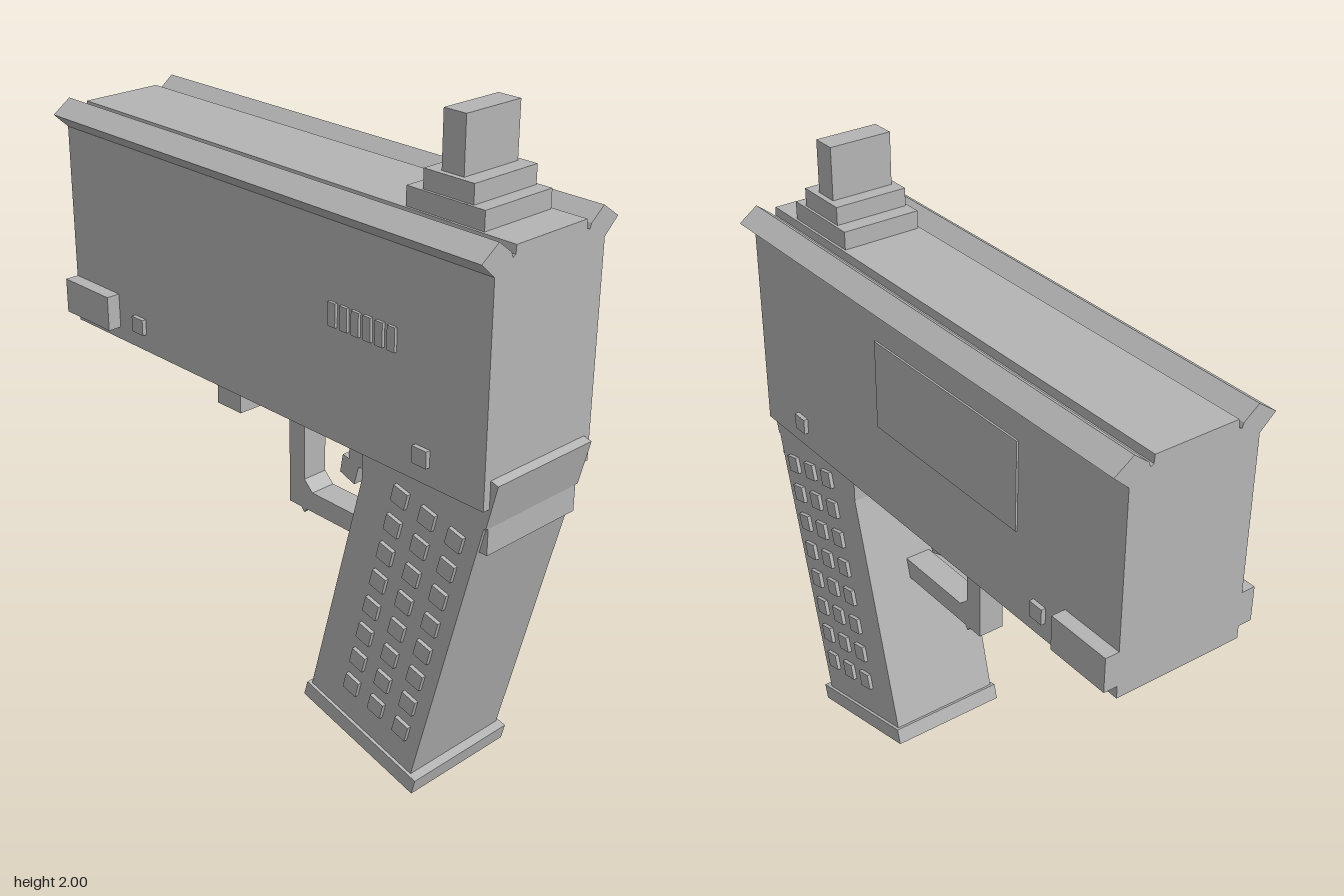
import * as THREE from 'three';

export function createModel() {
  const model = new THREE.Group();
  const grey = new THREE.MeshStandardMaterial({ color: 0xb4b4b4 });
  grey.name = 'plain grey';

  const add = (name, geometry, parent = model) => {
    const mesh = new THREE.Mesh(geometry, grey);
    mesh.name = name;
    parent.add(mesh);
    return mesh;
  };

  // Box given by its limits on each axis
  const box = (name, x0, x1, y0, y1, z0, z1, parent) =>
    add(name, new THREE.BoxGeometry(x1 - x0, y1 - y0, z1 - z0)
      .translate((x0 + x1) / 2, (y0 + y1) / 2, (z0 + z1) / 2), parent);

  const shapeOf = (pts) => new THREE.Shape(pts.map(([a, b]) => new THREE.Vector2(a, b)));

  // Side profile of [z, y] points, extruded across x
  const sidePart = (name, pts, width) =>
    add(name, new THREE.ExtrudeGeometry(shapeOf(pts), { depth: width, bevelEnabled: false })
      .rotateY(-Math.PI / 2).translate(width / 2, 0, 0));

  // Body with flared rails along the top edges
  const half = [[0.208, 1.03], [0.208, 1.665], [0.257, 1.71], [0.197, 1.752],
    [0.15, 1.715], [0.145, 1.7], [0.135, 1.705], [0.133, 1.73]];
  const outline = [...half, ...half.map(([x, y]) => [-x, y]).reverse()];
  add('body', new THREE.ExtrudeGeometry(shapeOf(outline), { depth: 1.72, bevelEnabled: false })
    .translate(0, 0, -0.87));

  // Stepped post on top
  box('postBase', -0.125, 0.125, 1.72, 1.785, 0.475, 0.74);
  box('postStep', -0.117, 0.117, 1.785, 1.84, 0.525, 0.695);
  box('post', -0.1, 0.1, 1.84, 2, 0.57, 0.645);

  // Rear blocks and small pins on both sides
  for (const s of [-1, 1]) {
    const side = new THREE.Group();
    side.name = s > 0 ? 'leftFittings' : 'rightFittings';
    model.add(side);
    const both = (name, x0, x1, ...rest) =>
      box(name, Math.min(s * x0, s * x1), Math.max(s * x0, s * x1), ...rest, side);
    both('rearBlock', 0.19, 0.252, 1.07, 1.18, -0.87, -0.655);
    for (const z of [0.635, -0.55]) both('pin', 0.2, 0.222, 1.085, 1.135, z - 0.026, z + 0.026);
  }

  // Raised panel on one side, slats on the other
  box('sidePanel', 0.206, 0.214, 1.31, 1.585, -0.45, 0.2);
  for (let i = 0; i < 6; i++) {
    const z = 0.3 + i * 0.044;
    box('slat', -0.217, -0.205, 1.37, 1.44, z - 0.014, z + 0.014);
  }

  // Sloping grip, its base plate and front strap
  sidePart('grip', [[0.851, 1.03], [0.605, 0.06], [0.19, 0.16], [0.392, 0.94], [0.392, 1.03]], 0.37);
  sidePart('gripBase', [[0.632, 0.055], [0.62, 0.005], [0.167, 0.118], [0.181, 0.168]], 0.39);
  sidePart('strapUpper', [[0.85, 1.112], [0.876, 1.105], [0.841, 0.965], [0.8, 0.965]], 0.37);
  sidePart('strapLower', [[0.841, 0.975], [0.841, 0.885], [0.78, 0.885], [0.78, 0.975]], 0.35);

  // Rows of square studs on both sides of the grip
  const studs = new THREE.Group();
  studs.name = 'gripStuds';
  model.add(studs);
  const stud = new THREE.BoxGeometry(0.03, 0.053, 0.053);
  for (const s of [-1, 1])
    for (let row = 0; row < 8; row++)
      for (let col = 0; col < 3; col++) {
        const mesh = add('stud', stud, studs);
        mesh.position.set(s * 0.182, 0.897 - row * 0.099 + col * 0.024, 0.743 - row * 0.025 - col * 0.1);
        mesh.rotation.x = 0.248;
      }

  // Trigger and its guard
  sidePart('trigger', [[0.235, 1.04], [0.257, 0.86], [0.22, 0.85], [0.204, 0.79], [0.145, 0.81],
    [0.156, 0.87], [0.185, 0.865], [0.18, 0.88], [0.19, 0.93], [0.175, 0.95], [0.18, 0.997],
    [0.177, 1.04]], 0.06);
  sidePart('triggerGuard', [[0.36, 0.7], [0.36, 0.635], [0.015, 0.635], [0.003, 0.62], [-0.01, 0.635],
    [-0.06, 0.635], [-0.06, 1.04], [0.005, 1.04], [0.005, 0.733], [0.04, 0.7]], 0.085);

  // Separate block under the body
  box('lowerBlock', -0.09, 0.09, 0.885, 0.97, -0.333, -0.227);

  return model;
}
